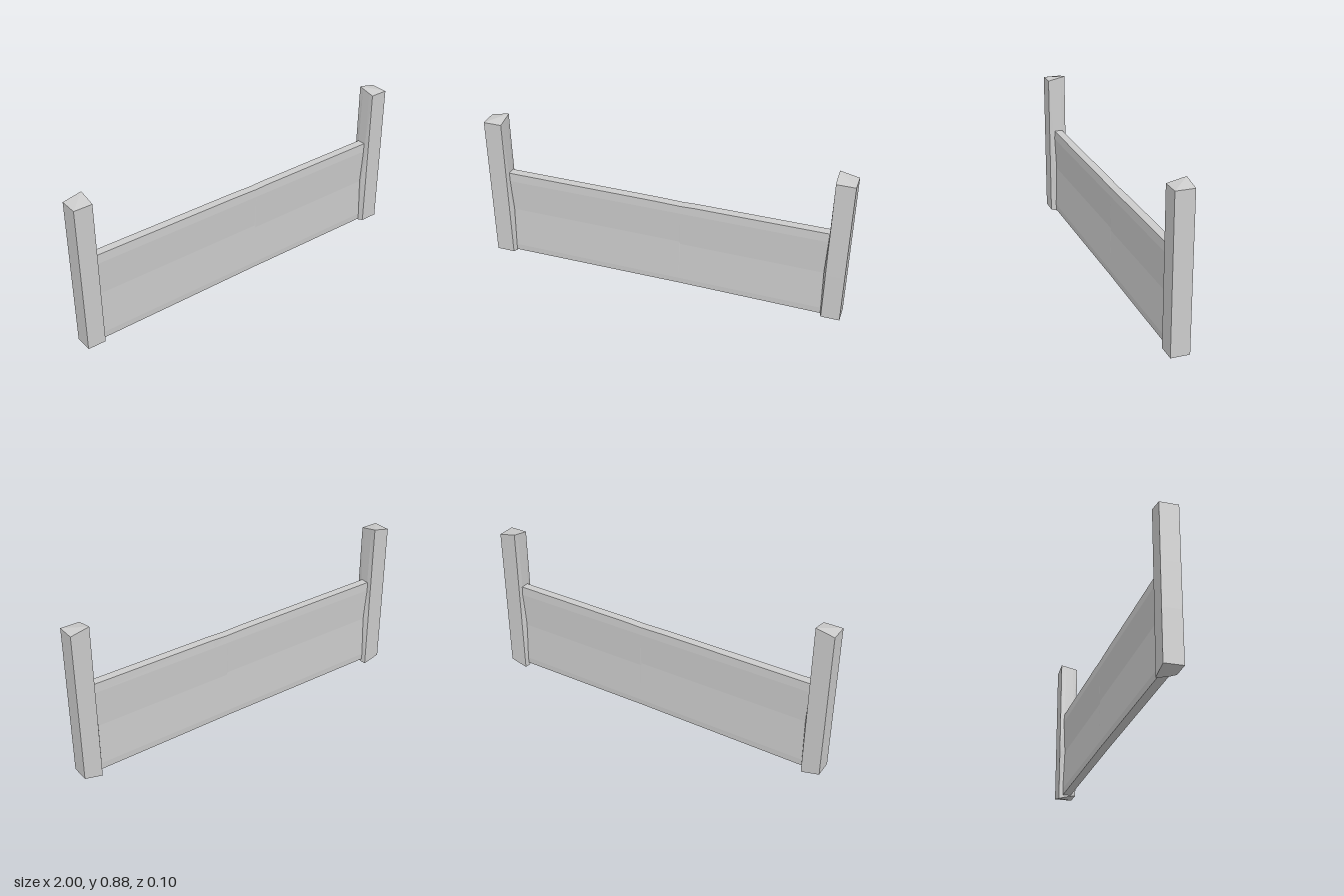
import * as THREE from 'three';

const material = new THREE.MeshStandardMaterial({ color: 0xcccccc, flatShading: true });

// Skins a row of equal-length rings, with a fan cap at both ends
function loft(name, rings, flip = false) {
  const pos = [];
  const tri = (a, b, c) => pos.push(...a, ...(flip ? [...c, ...b] : [...b, ...c]));
  const n = rings[0].length;
  for (let r = 0; r + 1 < rings.length; r++) {
    const lo = rings[r], hi = rings[r + 1];
    for (let i = 0; i < n; i++) {
      const j = (i + 1) % n;
      tri(lo[i], lo[j], hi[j]);
      tri(lo[i], hi[j], hi[i]);
    }
  }
  const first = rings[0], last = rings[rings.length - 1];
  for (let i = 1; i + 1 < n; i++) {
    tri(first[0], first[i + 1], first[i]);
    tri(last[0], last[i], last[i + 1]);
  }
  const geometry = new THREE.BufferGeometry();
  geometry.setAttribute('position', new THREE.Float32BufferAttribute(pos, 3));
  geometry.computeVertexNormals();
  const mesh = new THREE.Mesh(geometry, material);
  mesh.name = name;
  return mesh;
}

// Square post: the inner back corner is drawn to a point at both ends,
// and the inner face swells slightly where the panel meets it
function post(name, side) {
  // height, extra height of the inner back corner, x of the swelling
  const levels = [[0.025, -0.025, 0.892], [0.3, 0, 0.887], [0.54, 0, 0.895], [0.856, 0.021, 0.899]];
  const rings = levels.map(([y, peak, swell]) => [
    [0.9, y + peak, -0.05],
    [swell, y + peak * 0.75, -0.025],
    [swell, y + peak * 0.25, 0.025],
    [0.9, y, 0.05],
    [1, y, 0.05],
    [1, y, -0.05],
  ].map(([x, py, z]) => [x * side, py, z]));
  return loft(name, rings, side < 0);
}

// Long board with a shallow waist whose fold line steps down near the middle
function panel() {
  // x, bottom, waist height, top
  const stations = [
    [-0.9, 0.022, 0.302, 0.54],
    [-0.04, 0.026, 0.302, 0.538],
    [0.095, 0.027, 0.302, 0.535],
    [0.1, 0.027, 0.288, 0.535],
    [0.18, 0.026, 0.288, 0.538],
    [0.9, 0.022, 0.288, 0.54],
  ];
  const rings = stations.map(([x, bottom, waist, top]) => {
    const profile = [[bottom, 0.023], [0.06, 0.025], [waist, 0.018], [0.49, 0.025], [top, 0.023]];
    const front = profile.map(([y, z]) => [x, y, z - 0.004]);
    const back = profile.map(([y, z]) => [x, y, -z - 0.004]).reverse();
    return [...back, ...front];
  });
  return loft('panel', rings, true);
}

export function createModel() {
  const model = new THREE.Group();
  model.name = 'boardWithPosts';
  model.add(post('leftPost', 1), post('rightPost', -1), panel());
  return model;
}
